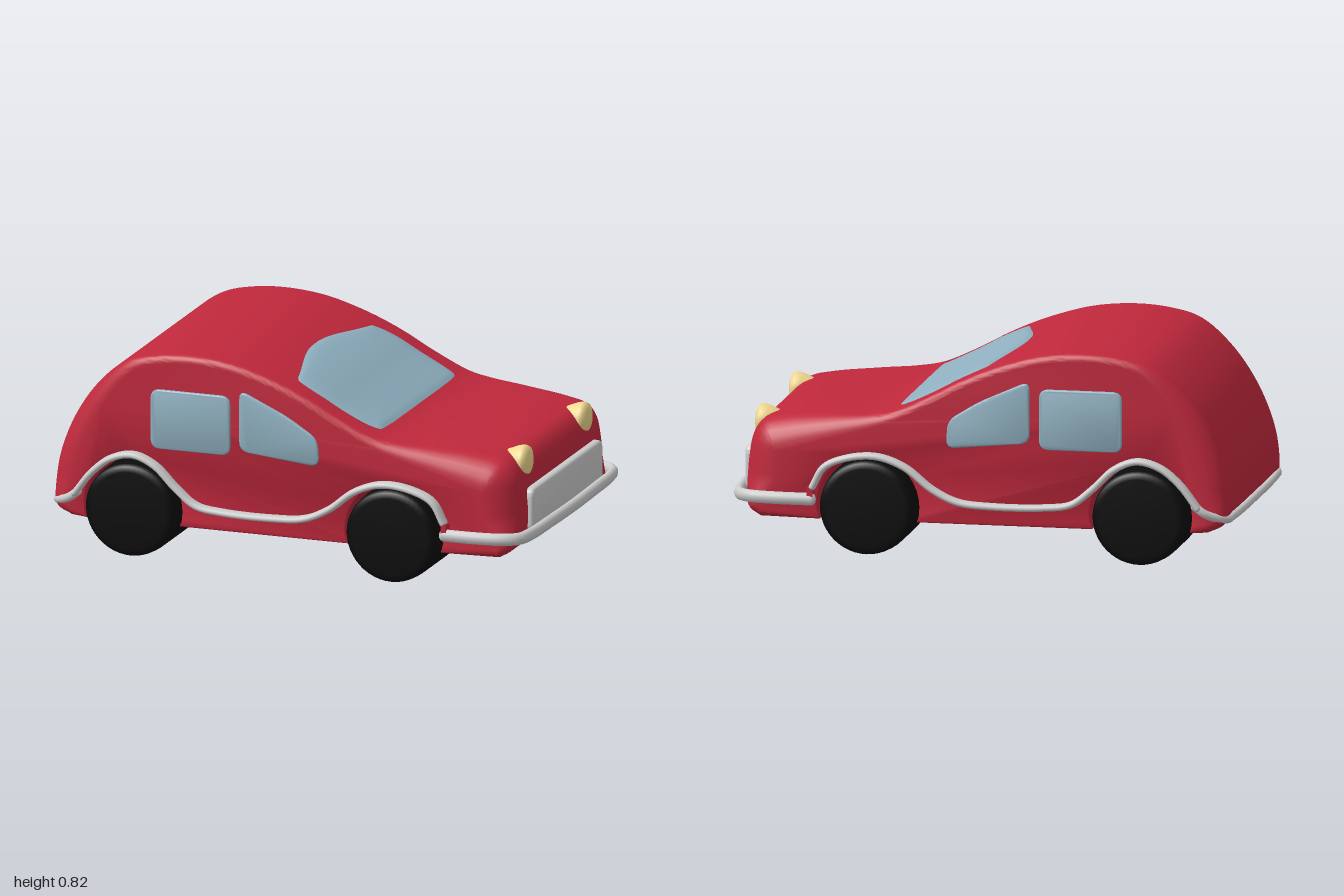
import * as THREE from 'three';
import { toCreasedNormals } from 'three/addons/utils/BufferGeometryUtils.js';

const mat = (color, side = THREE.FrontSide) => new THREE.MeshStandardMaterial({ color, side });
const RED = mat(0xc0283c), GLASS = mat(0x8fb0c0), CHROME = mat(0xcccccc);
const BLACK = mat(0x0b0b0b), LAMP = mat(0xf0d890);
const HALF = 0.545, AXLES = [-0.64, 0.44], AXLE_Y = 0.188;
const lerp = THREE.MathUtils.lerp, step = THREE.MathUtils.smoothstep;

function add(group, name, geometry, material, x = 0, y = 0, z = 0) {
  const mesh = new THREE.Mesh(geometry, material);
  mesh.name = name;
  mesh.position.set(x, y, z);
  group.add(mesh);
  return mesh;
}

// Upper side profile, from the front bottom over the roof to the rear bottom
const upper = new THREE.CatmullRomCurve3([
  [0.87, 0.13], [0.92, 0.165], [0.938, 0.25], [0.932, 0.36], [0.912, 0.45], [0.87, 0.5], [0.78, 0.522],
  [0.6, 0.537], [0.45, 0.546], [0.35, 0.563], [0.2, 0.63], [0.1, 0.684], [0, 0.73], [-0.1, 0.767],
  [-0.24, 0.805], [-0.4, 0.82], [-0.54, 0.81], [-0.67, 0.775], [-0.8, 0.67], [-0.9, 0.53],
  [-0.965, 0.37], [-0.982, 0.25], [-0.965, 0.165], [-0.9, 0.13],
].map(([x, y]) => new THREE.Vector3(x, y, 0)), false, 'centripetal').getPoints(130);

// Height of the top surface at x
function roofY(x) {
  for (let i = 1; i < upper.length; i++) {
    const a = upper[i - 1], b = upper[i];
    if (a.y > 0.48 && a.x >= x && b.x <= x) return lerp(a.y, b.y, (a.x - x) / (a.x - b.x));
  }
  return 0.5;
}

// Edge rounding: tight on the roof, wide at hood and tail
function edgeRadius(x, y) {
  const r = 0.03 + 0.1 * step(x, 0.25, 0.9) + 0.06 * step(-x, 0.55, 0.95);
  return lerp(0.03, r, step(y, 0.12, 0.3));
}

// Outline with through-going wheel arches, lofted across z with rounded edges
function bodyGeometry() {
  const outline = upper.map(p => ({ x: p.x, y: p.y, r: edgeRadius(p.x, p.y) }));
  const R = 0.202, a0 = Math.asin((AXLE_Y - 0.13) / R);
  for (const cx of AXLES) {
    for (let i = 0; i <= 24; i++) {
      const a = Math.PI + a0 - (Math.PI + 2 * a0) * i / 24;
      outline.push({ x: cx + R * Math.cos(a), y: AXLE_Y + R * Math.sin(a), r: 0.008 });
    }
  }
  const n = outline.length, steps = 7, rows = [], pos = [], index = [];
  for (let k = steps; k >= 0; k--) rows.push([-1, k / steps]);
  for (let k = 0; k <= steps; k++) rows.push([1, k / steps]);
  const rims = [];
  rows.forEach(([side, f], j) => {
    const t = f * Math.PI / 2, rim = [];
    outline.forEach((p, i) => {
      const a = outline[(i + n - 1) % n], b = outline[(i + 1) % n];
      const dx = b.x - a.x, dy = b.y - a.y, l = Math.hypot(dx, dy);
      const d = p.r * (1 - Math.cos(t));
      const v = new THREE.Vector2(p.x - dy / l * d, p.y + dx / l * d);
      rim.push(v);
      pos.push(v.x, v.y, side * (HALF - p.r * (1 - Math.sin(t))));
      if (j > 0) {
        const i2 = (i + 1) % n, lo = (j - 1) * n, hi = j * n;
        index.push(lo + i, lo + i2, hi + i, lo + i2, hi + i2, hi + i);
      }
    });
    rims.push(rim);
  });
  // Flat side panels
  const last = (rows.length - 1) * n;
  for (const [a, b, c] of THREE.ShapeUtils.triangulateShape(rims[rows.length - 1], [])) {
    index.push(last + a, last + b, last + c, a, c, b);
  }
  const g = new THREE.BufferGeometry();
  g.setAttribute('position', new THREE.Float32BufferAttribute(pos, 3));
  g.setIndex(index);
  return toCreasedNormals(g, 0.6);
}

// Polygon with rounded corners
function roundedShape(pts, r) {
  const s = new THREE.Shape(), v = pts.map(p => new THREE.Vector2(...p)), n = v.length;
  v.forEach((p, i) => {
    const toward = q => p.clone().add(q.clone().sub(p).setLength(r));
    const a = toward(v[(i + n - 1) % n]), b = toward(v[(i + 1) % n]);
    if (i === 0) s.moveTo(a.x, a.y); else s.lineTo(a.x, a.y);
    s.quadraticCurveTo(p.x, p.y, b.x, b.y);
  });
  s.closePath();
  return s;
}

function panel(pts, r, depth, bevel) {
  const g = new THREE.ExtrudeGeometry(roundedShape(pts, r), {
    depth, bevelThickness: bevel, bevelSize: bevel, bevelOffset: -bevel, bevelSegments: 4, curveSegments: 8,
  });
  return toCreasedNormals(g, 0.7);
}

// Round bar along a path, with rounded ends, stretched to an oval section
function bar(group, name, pts, radius, sy, sz, y, z) {
  const part = new THREE.Group();
  part.name = name;
  const curve = new THREE.CatmullRomCurve3(pts.map(p => new THREE.Vector3(...p)), false, 'centripetal');
  add(part, name + 'Bar', new THREE.TubeGeometry(curve, 100, radius, 12), CHROME);
  for (const p of [pts[0], pts[pts.length - 1]]) {
    add(part, name + 'End', new THREE.SphereGeometry(radius, 12, 8), CHROME, ...p);
  }
  part.scale.set(1, sy, sz);
  part.position.set(0, y, z);
  group.add(part);
}

// Windscreen: a rounded grid that follows the roofline and stands slightly proud
function windscreenGeometry() {
  const g = new THREE.PlaneGeometry(2, 2, 28, 24), p = g.attributes.position;
  for (let i = 0; i < p.count; i++) {
    const u = p.getX(i), v = p.getY(i);
    const a = u * Math.sqrt(1 - 0.13 * v ** 4), b = v * Math.sqrt(1 - 0.09 * u ** 6);
    const z = a * 0.455;
    const top = -0.095 + 0.075 * step(Math.abs(a), 0.05, 1);
    const x = lerp(0.352, top, (b + 1) / 2);
    const edge = Math.max(Math.abs(u), Math.abs(v));
    p.setXYZ(i, x, roofY(x) - 0.004 + 0.016 * Math.sqrt(1 - edge ** 6), -z);
  }
  g.computeVertexNormals();
  return g;
}

export function createModel() {
  const car = new THREE.Group();
  car.name = 'car';
  add(car, 'body', bodyGeometry(), RED);
  add(car, 'windscreen', windscreenGeometry(), mat(0x8fb0c0, THREE.DoubleSide));

  // Wheels
  const tyre = new THREE.LatheGeometry([
    [0, -0.187], [0.155, -0.187], [0.176, -0.18], [0.185, -0.165], [0.188, -0.13],
    [0.188, 0.13], [0.185, 0.165], [0.176, 0.18], [0.155, 0.187], [0, 0.187],
  ].map(p => new THREE.Vector2(...p)), 48);
  tyre.rotateX(Math.PI / 2);

  // Headlamp: blunt front, tapering back into the hood
  const lamp = new THREE.LatheGeometry([
    [0, -0.13], [0.02, -0.122], [0.045, -0.085], [0.061, -0.045], [0.066, -0.02],
    [0.06, -0.005], [0.042, 0.003], [0, 0.007],
  ].map(p => new THREE.Vector2(...p)), 28);
  lamp.rotateZ(-Math.PI / 2);

  const rearWindow = panel([[-0.567, 0.437], [-0.237, 0.437], [-0.237, 0.677], [-0.567, 0.677]], 0.04, 0.012, 0.008);
  const frontWindow = panel([[-0.2, 0.46], [0.132, 0.428], [0.125, 0.54], [0, 0.618], [-0.2, 0.708]], 0.04, 0.012, 0.008);

  for (const s of [1, -1]) {
    const side = s > 0 ? 'right' : 'left';
    for (const x of AXLES) {
      add(car, side + (x > 0 ? 'FrontWheel' : 'RearWheel'), tyre, BLACK, x, AXLE_Y, s * 0.408);
    }
    add(car, side + 'Headlamp', lamp, LAMP, 0.92, 0.47, s * 0.328);
    const z = s > 0 ? HALF - 0.012 : -HALF;
    add(car, side + 'RearWindow', rearWindow, GLASS, 0, 0, z);
    add(car, side + 'FrontWindow', frontWindow, GLASS, 0, 0, z);

    // Wavy side trim over both wheels
    bar(car, side + 'Trim', [
      [-0.87, 0.235, 0], [-0.8, 0.325, 0], [-0.72, 0.388, 0], [-0.63, 0.41, 0], [-0.54, 0.375, 0],
      [-0.45, 0.29, 0], [-0.37, 0.23, 0], [-0.26, 0.213, 0], [-0.05, 0.21, 0], [0.08, 0.222, 0],
      [0.18, 0.268, 0], [0.29, 0.352, 0], [0.4, 0.39, 0], [0.52, 0.38, 0], [0.61, 0.34, 0], [0.655, 0.262, 0],
    ], 0.014, 1, 2.1, 0, s * 0.571);
    add(car, side + 'TrimJoint', new THREE.BoxGeometry(0.022, 0.04, 0.045), RED, 0.662, 0.24, s * 0.571);
  }

  // Wrap-around bumpers
  const mirrored = half => [...half, ...half.slice(0, -1).reverse().map(([x, y, z]) => [x, y, -z])];
  bar(car, 'frontBumper', mirrored([
    [0.66, 0, 0.578], [0.8, 0, 0.574], [0.9, 0, 0.556], [0.95, 0, 0.52], [0.968, 0, 0.44], [0.975, 0, 0.25], [0.979, 0, 0],
  ]), 0.02, 1.25, 1, 0.213, 0);
  bar(car, 'rearBumper', mirrored([
    [-0.86, 0.24, 0.57], [-0.9, 0.21, 0.562], [-0.965, 0.183, 0.505], [-0.978, 0.181, 0.4], [-0.983, 0.18, 0],
  ]), 0.017, 1, 1, 0, 0);

  // Grille
  const grille = panel([[-0.39, 0.2], [0.39, 0.2], [0.39, 0.378], [-0.39, 0.378]], 0.035, 0.03, 0.015);
  add(car, 'grille', grille.rotateY(Math.PI / 2), CHROME, 0.915, 0, 0);
  return car;
}
